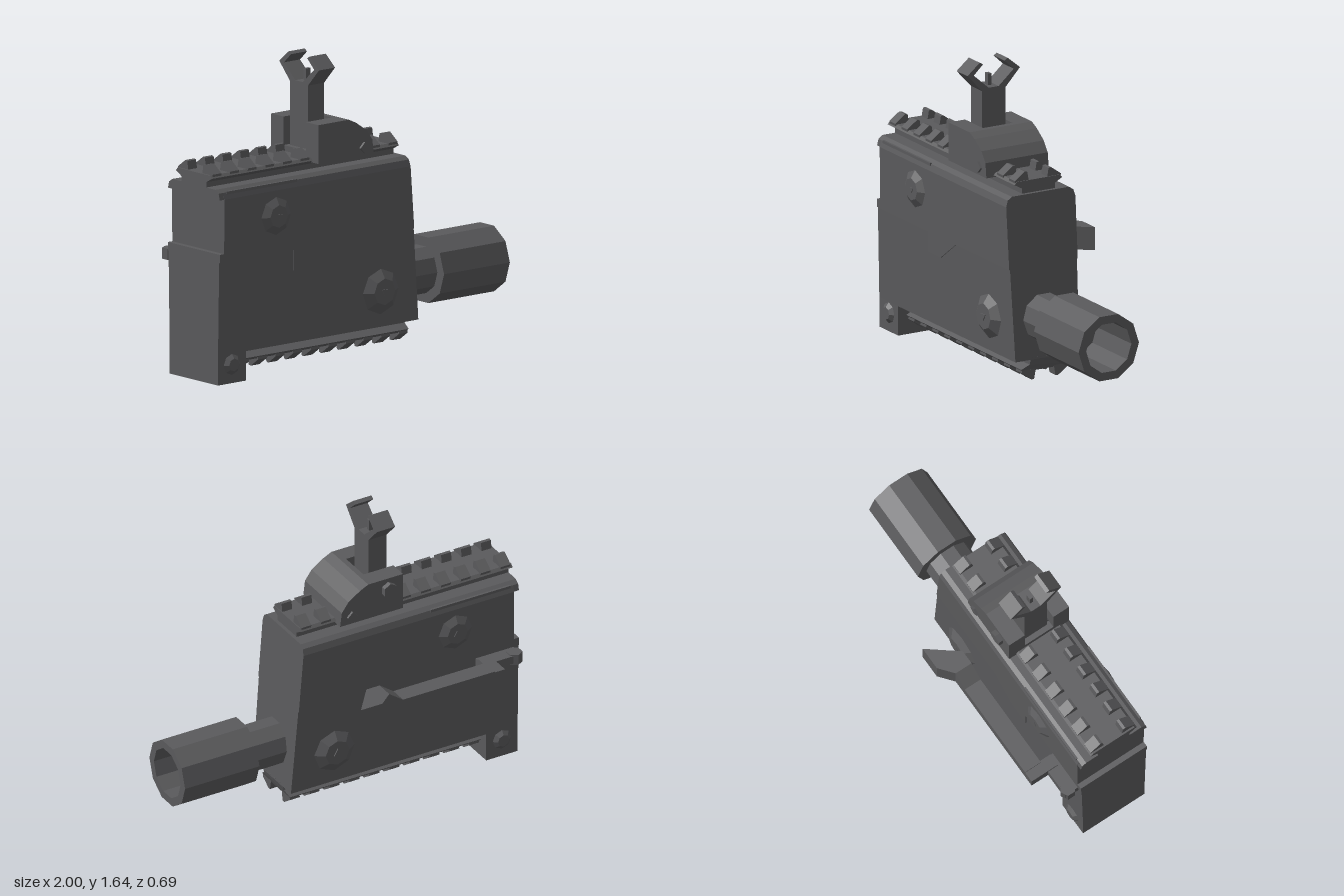
import * as THREE from 'three';

export function createModel() {
  const root = new THREE.Group();
  root.name = 'receiver';
  const body = new THREE.Group();
  body.name = 'receiverParts';
  body.position.z = 0.11; // everything is symmetric about this plane except the lever
  root.add(body);

  const gunmetal = new THREE.MeshStandardMaterial({ color: 0x5a5a5c, flatShading: true });
  gunmetal.name = 'gunmetal grey';

  const add = (name, geo) => {
    const m = new THREE.Mesh(geo, gunmetal);
    m.name = name;
    body.add(m);
    return m;
  };
  const shapeOf = (pts) => new THREE.Shape(pts.map(([a, b]) => new THREE.Vector2(a, b)));
  const extrude = (pts, depth) => new THREE.ExtrudeGeometry(shapeOf(pts), { depth, bevelEnabled: false });
  // side profile (x, y) extruded across z
  const alongZ = (pts, z0, z1) => extrude(pts, z1 - z0).translate(0, 0, z0);
  // cross-section (z, y) extruded along x
  const alongX = (pts, x0, x1) =>
    extrude(pts.map(([z, y]) => [-z, y]), x1 - x0).rotateY(Math.PI / 2).translate(x0, 0, 0);
  // plan (x, z) extruded up y
  const alongY = (pts, y0, y1) =>
    extrude(pts.map(([x, z]) => [x, -z]), y1 - y0).rotateX(-Math.PI / 2).translate(0, y0, 0);
  const mirrored = (half) => [...half, ...half.map(([z, y]) => [-z, y]).reverse()];
  const box = (x0, x1, y0, y1, z0, z1) =>
    new THREE.BoxGeometry(x1 - x0, y1 - y0, z1 - z0).translate((x0 + x1) / 2, (y0 + y1) / 2, (z0 + z1) / 2);

  // Slanted front end of the two body halves
  const slant = (geo) => {
    const p = geo.attributes.position;
    for (let i = 0; i < p.count; i++) {
      if (p.getX(i) > 0) p.setX(i, 0.3 + (1.04 - p.getY(i)) * 0.08);
    }
    geo.computeVertexNormals();
    return geo;
  };
  add('lowerBody', slant(alongX(mirrored([[0.195, 0.16], [0.204, 0.655]]), -1, 0.3)));
  add('upperBody', slant(alongX(
    mirrored([[0.209, 0.655], [0.211, 0.99], [0.2, 1.025], [0.175, 1.042]]), -0.97, 0.3)));
  // Rim around the shallow recess in the rear end
  add('rearRimLower', box(-1, -0.97, 0.655, 0.7, -0.209, 0.209));
  add('rearRimUpper', alongX(mirrored([[0.209, 0.99], [0.2, 1.025], [0.175, 1.042]]), -1, -0.97));
  add('rearFoot', box(-1, -0.81, 0, 0.18, -0.195, 0.195));

  // Step in the seam, and a narrow strip below the top edge
  for (const s of [1, -1]) {
    const [a, b] = s > 0 ? [0.195, 0.208] : [-0.208, -0.195];
    add('seamTab', alongZ([[-0.49, 0.66], [-0.49, 0.545], [-0.36, 0.545], [-0.2, 0.66]], a, b));
    add('topStrip', box(-0.95, -0.47, 1.015, 1.03, s * 0.2 - 0.006, s * 0.2 + 0.006));
  }

  // Toothed accessory rails: dir is +1 for the top, -1 for the bottom
  function rail(name, y, dir, x0, x1, xEnd, toothX, count) {
    const flip = ([z, h]) => [z, y + dir * h];
    const geo = alongX(mirrored([[0.1, -0.01], [0.1, 0.03], [0.145, 0.055], [0.13, 0.07]].map(flip)), x0, x1);
    const p = geo.attributes.position;
    // sloping end
    for (let i = 0; i < p.count; i++) {
      if (p.getX(i) > 0) p.setX(i, x1 + (xEnd - x1) * Math.max(0, Math.min(1, dir * (p.getY(i) - y) / 0.07)));
    }
    add(name, geo);
    for (let k = 0; k < count; k++) {
      const x = toothX + k * 0.1205;
      for (const s of [1, -1]) {
        const profile = [[0.055, 0.06], [0.065, 0.115], [0.08, 0.118], [0.14, 0.075], [0.138, 0.06]]
          .map(([z, h]) => flip([z * s, h]));
        add(name + 'Tooth', alongX(profile, x - 0.03, x + 0.03));
      }
    }
  }
  rail('topRail', 1.04, 1, -1, 0.28, 0.28, -0.96, 11);
  rail('bottomRail', 0.16, -1, -0.81, 0.37, 0.34, -0.77, 10);

  // Hollow muzzle on a narrower barrel, ten-sided
  const barrelProfile = [[0, 0.3], [0.13, 0.3], [0.13, 0.55], [0.184, 0.55], [0.184, 1],
    [0.138, 1], [0.138, 0.65], [0, 0.65]].map(([r, h]) => new THREE.Vector2(r, h));
  const barrel = add('barrel', new THREE.LatheGeometry(barrelProfile, 10).rotateZ(-Math.PI / 2));
  barrel.position.set(0, 0.375, 0.007);

  // Domed bolts on both sides
  function bolt(name, x, y, r, z, h, sides = 8, taper = 0.55) {
    for (const s of [1, -1]) {
      const m = add(name, new THREE.CylinderGeometry(r * taper, r, h, sides).rotateX(s * Math.PI / 2));
      m.position.set(x, y, s * (z + h / 2));
    }
  }
  bolt('upperBolt', -0.615, 0.855, 0.11, 0.205, 0.03);
  bolt('lowerBolt', 0.11, 0.35, 0.13, 0.193, 0.04);
  bolt('upperBoltSocket', -0.61, 0.855, 0.022, 0.23, 0.008, 3, 0.9);
  bolt('lowerBoltSocket', 0.11, 0.35, 0.028, 0.229, 0.008, 3, 0.9);
  bolt('footBolt', -0.905, 0.1, 0.062, 0.19, 0.024);

  // Sight base: two cheeks and a middle block, leaving a slot for the post
  const cheek = [[-0.31, 1.085], [-0.31, 1.292], [-0.1, 1.292], [-0.05, 1.268], [0.02, 1.22],
    [0.06, 1.165], [0.07, 1.085]];
  add('sightCheek', alongZ(cheek, 0.09, 0.19));
  add('sightCheek', alongZ(cheek, -0.19, -0.09));
  add('sightBlock', alongZ([[-0.13, 1.085], [-0.13, 1.292], ...cheek.slice(2)], -0.09, 0.09));
  add('sightSlotFloor', box(-0.31, -0.13, 1.085, 1.14, -0.09, 0.09));
  bolt('sightPin', 0, 1.13, 0.03, 0.188, 0.015, 4, 1);
  const knob = add('sightKnob', new THREE.CylinderGeometry(0.042, 0.042, 0.035, 6).rotateX(Math.PI / 2));
  knob.position.set(-0.22, 1.23, -0.2);

  // Forked sight post
  const fork = [[0.072, 1.1], [0.072, 1.48], [0.16, 1.575], [0.085, 1.637], [0.065, 1.625],
    [0.122, 1.572], [0.03, 1.492]];
  add('sightPost', alongX(mirrored(fork), -0.28, -0.17));
  add('sightNeedle', box(-0.24, -0.21, 1.485, 1.555, -0.01, 0.01));

  // Charging lever on the back
  const lever = new THREE.Group();
  lever.name = 'lever';
  lever.position.z = -0.11;
  body.add(lever);
  const leverPart = (name, geo) => lever.add(add(name, geo));
  leverPart('leverBar', alongY([[-0.75, -0.28], [-0.08, -0.28], [-0.08, -0.18], [-0.75, -0.18]], 0.6, 0.665));
  leverPart('leverHandle', alongY(
    [[-0.11, -0.28], [-0.03, -0.345], [0.1, -0.345], [-0.03, -0.18], [-0.11, -0.18]], 0.6, 0.725));
  leverPart('leverRamp', alongZ([[-0.2, 0.66], [-0.11, 0.725], [-0.11, 0.66]], -0.28, -0.18));
  leverPart('leverBlock', box(-0.81, -0.74, 0.6, 0.66, -0.28, -0.115));
  leverPart('leverFoot', box(-0.97, -0.74, 0.605, 0.65, -0.175, -0.09));
  leverPart('leverKnob', new THREE.CylinderGeometry(0.043, 0.043, 0.06, 6).translate(-0.945, 0.627, -0.145));

  return root;
}
